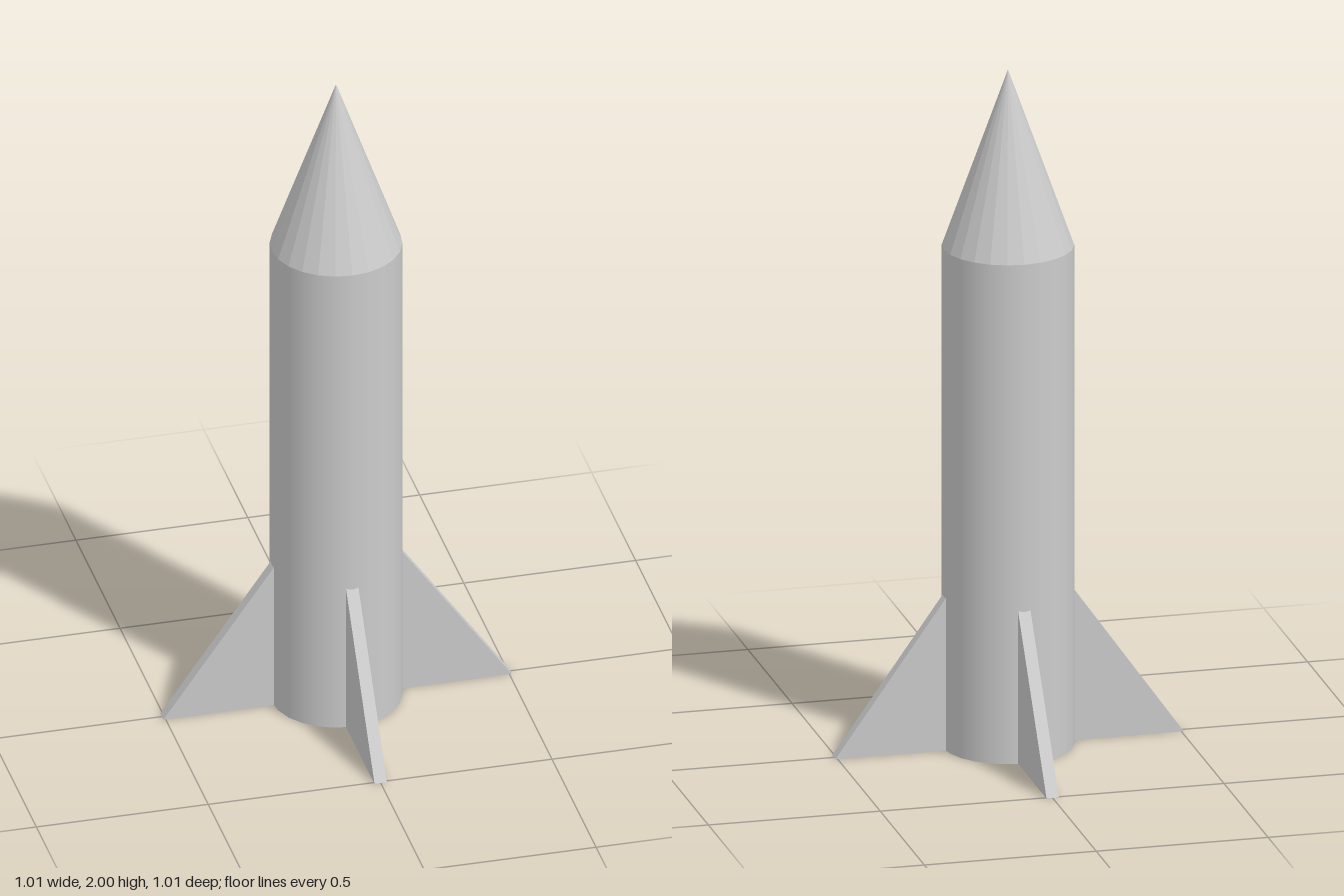
import * as THREE from 'three';

const SIDES = 24;
const RADIUS = 0.187;
const BODY_TOP = 1.48;
const FIN_THICKNESS = 0.036;

export function createModel() {
  const model = new THREE.Group();
  model.name = 'rocket';
  const smooth = new THREE.MeshStandardMaterial({ color: 0xcccccc });
  const faceted = new THREE.MeshStandardMaterial({ color: 0xcccccc, flatShading: true });

  const add = (name, geometry, material) => {
    const mesh = new THREE.Mesh(geometry, material);
    mesh.name = name;
    model.add(mesh);
    return mesh;
  };

  // Body: smooth closed cylinder
  add('body', new THREE.CylinderGeometry(RADIUS, RADIUS, BODY_TOP, SIDES), smooth)
    .position.y = BODY_TOP / 2;

  // Nose: faceted cone
  const noseHeight = 2 - BODY_TOP;
  add('noseCone', new THREE.ConeGeometry(RADIUS, noseHeight, SIDES), faceted)
    .position.y = BODY_TOP + noseHeight / 2;

  // Fins: triangular plates, one per quarter turn, rooted just inside the body
  const profile = new THREE.Shape([
    new THREE.Vector2(0.183, 0),
    new THREE.Vector2(0.507, 0),
    new THREE.Vector2(0.183, 0.455),
  ]);
  const finGeometry = new THREE.ExtrudeGeometry(profile, { depth: FIN_THICKNESS, bevelEnabled: false });
  finGeometry.translate(0, 0, -FIN_THICKNESS / 2);
  ['leftFin', 'backFin', 'rightFin', 'frontFin'].forEach((name, i) => {
    add(name, finGeometry, faceted).rotation.y = i * Math.PI / 2;
  });

  return model;
}
